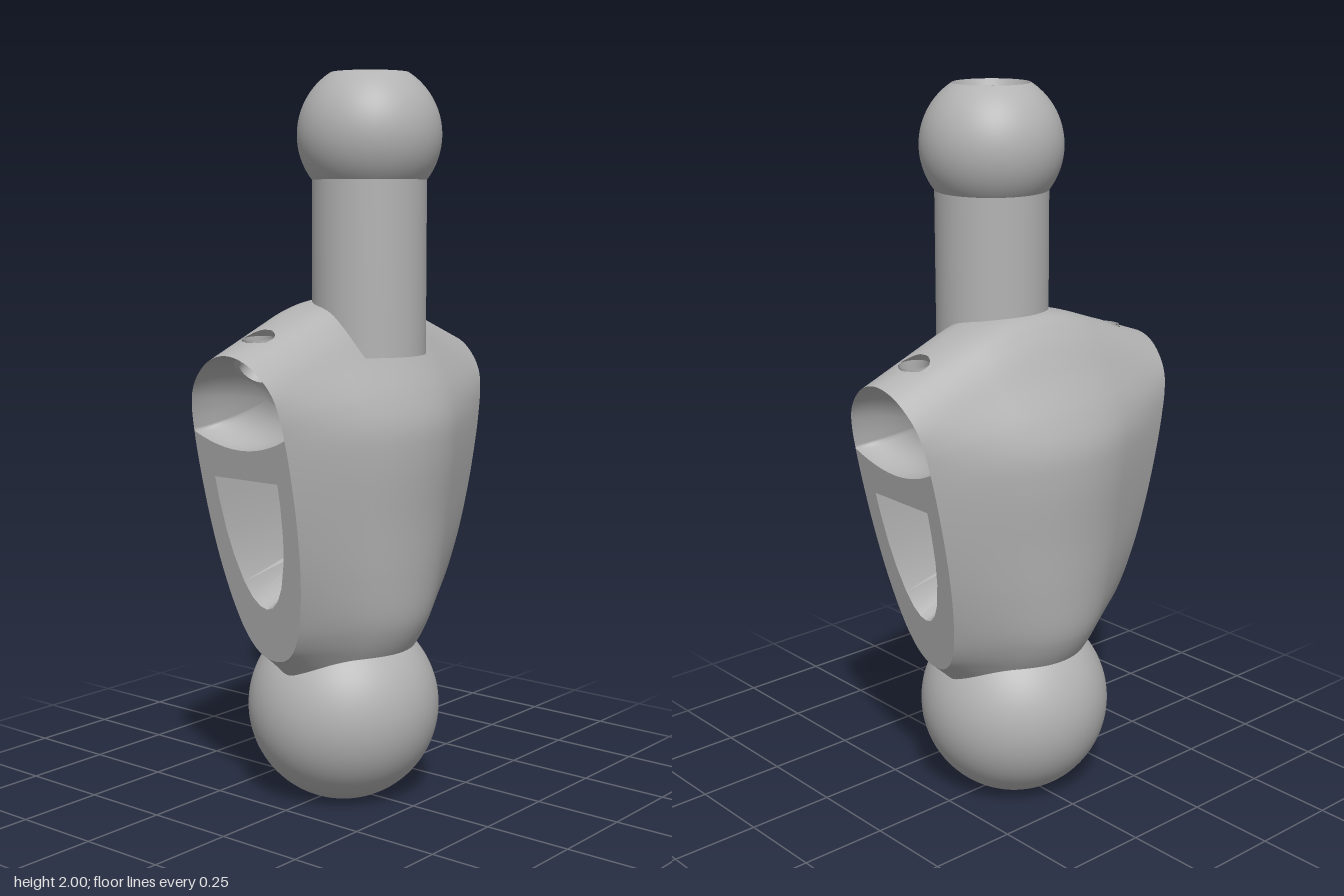
import * as THREE from 'three';
import { toCreasedNormals } from 'three/addons/utils/BufferGeometryUtils.js';

const V = (x, y, z) => new THREE.Vector3(x, y, z);
const grey = new THREE.MeshStandardMaterial({ color: 0xb3b3b3, side: THREE.DoubleSide });
grey.name = 'plainGrey';

function mesh(name, geometry) {
  const m = new THREE.Mesh(geometry, grey);
  m.name = name;
  return m;
}

// Half outlines of the torso as [z, y]: middle of the body and shoulder end
const MIDDLE = [[0, 1.4], [.08, 1.39], [.13, 1.345], [.19, 1.25], [.25, 1.15], [.28, 1.07], [.285, .98],
  [.272, .8], [.262, .65], [.25, .54], [.235, .49], [.2, .425], [.1, .3], [0, .22]];
const END = [[0, 1.27], [.06, 1.255], [.11, 1.215], [.14, 1.17], [.153, 1.12], [.158, 1.06], [.16, .98],
  [.155, .83], [.14, .69], [.115, .57], [.09, .5], [.06, .455], [.03, .435], [0, .43]];
const STEPS = 7;
const SOCKET_SPAN = 5 * STEPS; // samples from the top to the socket's lower corner

function outline(half) {
  const back = half.slice(1, -1).reverse().map(([z, y]) => [-z, y]);
  const pts = [...half, ...back].map(([z, y]) => V(0, y, z));
  const curve = new THREE.CatmullRomCurve3(pts, true);
  const n = pts.length * STEPS;
  return Array.from({ length: n }, (_, i) => curve.getPoint(i / n));
}

// The end panel lies in a plane that leans outwards towards the top
const endX = (y) => .29 + .22 * (y - .43);

// Skin over equal rows of points, each row a closed loop; keep() can open holes
function skin(rows, keep = () => true) {
  const n = rows[0].length, index = [];
  const pts = rows.flat();
  const add = (a, b, c) => {
    const mid = V(0, 0, 0).add(pts[a]).add(pts[b]).add(pts[c]).divideScalar(3);
    if (keep(mid)) index.push(a, b, c);
  };
  for (let r = 0; r < rows.length - 1; r++) {
    for (let i = 0; i < n; i++) {
      const j = (i + 1) % n, a = r * n, b = a + n;
      add(a + i, a + j, b + j);
      add(a + i, b + j, b + i);
    }
  }
  const g = new THREE.BufferGeometry().setFromPoints(pts);
  g.setIndex(index);
  g.computeVertexNormals();
  return g;
}

// Distance from the small shoulder opening, 1 on its rim
const openingTop = (p) => (p.y > 1.2 ? Math.hypot((Math.abs(p.x) - .35) / .037, p.z / .048) : 9);
const openingInner = (p) => Math.hypot((p.y - 1.22) / .038, p.z / .05);

function torsoSkin(middle, end) {
  const rows = [], N = 128, ease = .45;
  for (let k = 0; k <= N; k++) {
    const u = (k / N) * 2 - 1, s = Math.abs(u);
    const f = (s < ease ? s * s / (2 * ease) : s - ease / 2) / (1 - ease / 2);
    rows.push(middle.map((m, i) => {
      const p = m.clone().lerp(end[i], f);
      p.x = u * endX(end[i].y);
      // Pull nearby points on to the rim of the opening
      const d = openingTop(p);
      if (d > .8 && d < 1.2) {
        const cx = Math.sign(p.x) * .35;
        p.x = cx + (p.x - cx) / d;
        p.z /= d;
      }
      return p;
    }));
  }
  return skin(rows, (p) => openingTop(p) > 1);
}

// Lower edge of the shoulder socket, from -z to +z
const SOCKET_EDGE = Array.from({ length: 21 }, (_, i) => {
  const z = -.158 + .316 * i / 20;
  return V(0, 1.02 + .04 * (z / .158) ** 2, z);
});

// Side window outline, closed loop
const halfWindow = [[.11, .94], [.108, .88], [.1, .79], [.087, .72], [.066, .65], [.045, .61], [.022, .587], [0, .58]];
const WINDOW = [...halfWindow, ...halfWindow.slice(0, -1).reverse().map(([z, y]) => [-z, y])];

function sidePanel(end, side) {
  const edge = [...end.slice(SOCKET_SPAN, end.length - SOCKET_SPAN + 1), ...SOCKET_EDGE.slice(1, -1)];
  const shape = new THREE.Shape(edge.map((p) => new THREE.Vector2(p.z, p.y)));
  shape.holes.push(new THREE.Path(WINDOW.map(([z, y]) => new THREE.Vector2(z, y))));
  const g = new THREE.ShapeGeometry(shape);
  const pos = g.attributes.position;
  for (let i = 0; i < pos.count; i++) {
    const z = pos.getX(i), y = pos.getY(i);
    pos.setXYZ(i, side * endX(y), y, z);
  }
  // Mapping (z, y) to +x mirrors the winding
  if (side > 0) g.index.array.reverse();
  g.computeVertexNormals();
  return g;
}

function socket(end, side) {
  const rim = [...end.slice(-SOCKET_SPAN), ...end.slice(0, SOCKET_SPAN + 1),
    ...SOCKET_EDGE.slice(1, -1).reverse()];
  const rows = [], cy = 1.145, K = 28;
  for (let k = 0; k <= K; k++) {
    const a = (k / K) * Math.PI / 2, r = Math.cos(a);
    rows.push(rim.map((p) => {
      const y = cy + (p.y - cy) * r;
      return V(side * (endX(y) - .13 * Math.sin(a)), y, p.z * r);
    }));
  }
  return skin(rows, (p) => openingInner(p) > 1);
}

// Tunnel between the side windows, its floor rising to a ridge in the middle
function tunnel() {
  const rows = [-1, 0, 1].map((s) => WINDOW.map(([z, y]) =>
    V(s * endX(y), s === 0 ? Math.max(y, .71) : y, z)));
  return toCreasedNormals(skin(rows), .5);
}

// Ball with a tapered hole sunk into its flattened top
function ball(name, radius, rim) {
  const g = new THREE.Group();
  g.name = name;
  const cut = Math.asin(rim / radius), top = radius * Math.cos(cut), depth = .13, floor = .057;
  g.add(mesh(name + 'Shell', new THREE.SphereGeometry(radius, 64, 48, 0, Math.PI * 2, cut, Math.PI - cut)));
  const wall = mesh(name + 'HoleWall', new THREE.CylinderGeometry(rim, floor, depth, 32, 1, true));
  wall.position.y = top - depth / 2;
  const base = mesh(name + 'HoleFloor', new THREE.CircleGeometry(floor, 32));
  base.rotation.x = -Math.PI / 2;
  base.position.y = top - depth;
  g.add(wall, base);
  return g;
}

export function createModel() {
  const model = new THREE.Group();
  model.name = 'jointedTorso';
  const middle = outline(MIDDLE), end = outline(END);

  // Torso body with its tunnel
  model.add(mesh('torsoSkin', torsoSkin(middle, end)), mesh('windowTunnel', tunnel()));

  // Mirrored shoulder ends
  for (const side of [1, -1]) {
    const label = side > 0 ? 'left' : 'right';
    model.add(mesh(label + 'SidePanel', sidePanel(end, side)));
    model.add(mesh(label + 'ShoulderSocket', socket(end, side)));
    const bend = new THREE.CatmullRomCurve3([V(side * .37, 1.22, 0), V(side * .345, 1.245, 0), V(side * .35, 1.308, 0)]);
    model.add(mesh(label + 'ShoulderChannel', new THREE.TubeGeometry(bend, 10, .041, 20)));
  }

  // Neck and upper ball, set forward
  const neck = mesh('neck', new THREE.CylinderGeometry(.155, .155, .5, 64));
  neck.position.set(0, 1.5, .09);
  const head = ball('neckBall', .195, .105);
  head.position.set(0, 1.836, .09);

  // Waist ball, hole facing down
  const waist = ball('waistBall', .27, .1);
  waist.position.y = .251;
  waist.rotation.x = Math.PI;

  model.add(neck, head, waist);
  return model;
}
